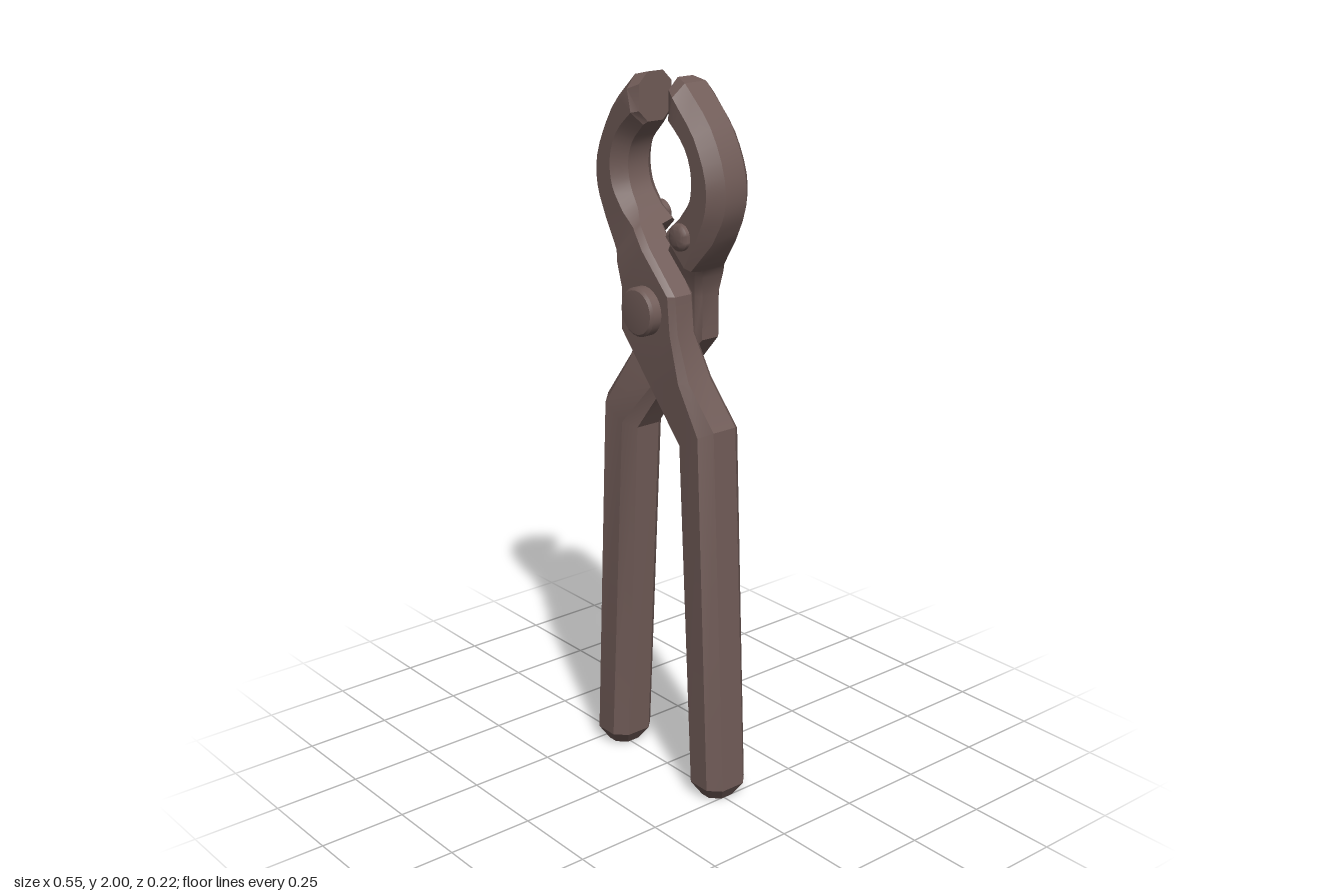
import * as THREE from 'three';
import { toCreasedNormals } from 'three/addons/utils/BufferGeometryUtils.js';

const Z_MID = -0.01;

// Stations along one arm, jaw tip to handle end:
// [outer x, outer y, inner x, inner y, z front, z back, chamfer]
const TIP = [
  [-0.06, 2.0, -0.06, 1.87, 0.045, -0.065, 0.03],
];
const JAW = [
  [-0.10, 1.99, -0.068, 1.862, 0.06, -0.08, 0.035],
  [-0.20, 1.89, -0.115, 1.81, 0.06, -0.08, 0.035],
  [-0.255, 1.77, -0.132, 1.755, 0.06, -0.08, 0.035],
  [-0.255, 1.68, -0.122, 1.695, 0.06, -0.08, 0.035],
  [-0.215, 1.595, -0.085, 1.64, 0.06, -0.08, 0.03],
];
const SHANK = [
  [-0.15, 1.515, -0.055, 1.605, 0.062, -0.08, 0.015],
  [-0.143, 1.507, -0.045, 1.597, 0.066, -0.035, 0.015],
  [-0.132, 1.485, 0.0, 1.55, 0.075, -0.025, 0.015],
  [-0.115, 1.43, 0.105, 1.44, 0.075, -0.01, 0.015],
  [-0.115, 1.31, 0.115, 1.34, 0.075, -0.01, 0.015],
  [-0.01, 1.185, 0.155, 1.215, 0.075, -0.04, 0.02],
  [0.095, 1.02, 0.225, 1.09, 0.06, -0.08, 0.032],
  [0.145, 0.04, 0.277, 0.04, 0.06, -0.08, 0.032],
  [0.172, 0.0, 0.252, 0.0, 0.035, -0.055, 0.025],
];

// Fills in extra stations so the jaw curves smoothly
function smooth(stations, steps) {
  const curve = (i) => new THREE.CatmullRomCurve3(
    stations.map((s) => new THREE.Vector3(s[i], s[i + 1], s[6])));
  const outer = curve(0), inner = curve(2);
  const out = [];
  for (let k = 0; k <= steps; k++) {
    const a = outer.getPoint(k / steps), b = inner.getPoint(k / steps);
    out.push([a.x, a.y, b.x, b.y, 0.06, -0.08, a.z]);
  }
  return out;
}

// Eight-sided chamfered section between the outer and inner edge
function ring([ax, ay, bx, by, zf, zb, c]) {
  const u = c / Math.hypot(bx - ax, by - ay);
  return [
    [0, zf - c], [u, zf], [1 - u, zf], [1, zf - c],
    [1, zb + c], [1 - u, zb], [u, zb], [0, zb + c],
  ].map(([t, z]) => [ax + (bx - ax) * t, ay + (by - ay) * t, z]);
}

function armGeometry() {
  const rings = [...TIP, ...smooth(JAW, 12), ...SHANK].map(ring);
  const n = 8, last = (rings.length - 1) * n, index = [];
  for (let r = 0; r < rings.length - 1; r++) {
    for (let i = 0; i < n; i++) {
      const j = (i + 1) % n, p = r * n, q = p + n;
      index.push(p + i, q + i, p + j, p + j, q + i, q + j);
    }
  }
  for (let i = 1; i < n - 1; i++) {
    index.push(0, i, i + 1, last, last + i + 1, last + i);
  }
  const g = new THREE.BufferGeometry();
  g.setAttribute('position', new THREE.Float32BufferAttribute(rings.flat(2), 3));
  g.setIndex(index);
  return toCreasedNormals(g, 0.45);
}

// Round pin along z with softened rims
function pinGeometry(radius, half) {
  const b = 0.007;
  const pts = [
    [0, -half], [radius * 0.6, -half + 0.001], [radius - b, -half + 0.003], [radius, -half + 0.003 + b],
    [radius, half - 0.003 - b], [radius - b, half - 0.003], [radius * 0.6, half - 0.001], [0, half],
  ].map(([x, y]) => new THREE.Vector2(x, y));
  return toCreasedNormals(new THREE.LatheGeometry(pts, 24).rotateX(Math.PI / 2), 0.6);
}

export function createModel() {
  const model = new THREE.Group();
  model.name = 'tongs';
  const iron = new THREE.MeshStandardMaterial({ color: 0x705b57 });
  iron.name = 'brown iron';

  const arm = armGeometry();
  const rivet = pinGeometry(0.036, 0.03);

  // Two identical arms, one turned half round to cross the other
  for (const side of ['front', 'back']) {
    const half = new THREE.Group();
    half.name = side + 'Arm';
    const body = new THREE.Mesh(arm, iron);
    body.name = side + 'JawAndHandle';
    const stud = new THREE.Mesh(rivet, iron);
    stud.name = side + 'JawRivet';
    stud.position.set(-0.128, 1.605, -0.07);
    half.add(body, stud);
    if (side === 'back') {
      half.rotation.y = Math.PI;
      half.position.z = 2 * Z_MID;
    }
    model.add(half);
  }

  // Pivot through both arms
  const pivot = new THREE.Mesh(pinGeometry(0.067, 0.112), iron);
  pivot.name = 'pivotPin';
  pivot.position.set(0, 1.385, -0.001);
  model.add(pivot);

  return model;
}
